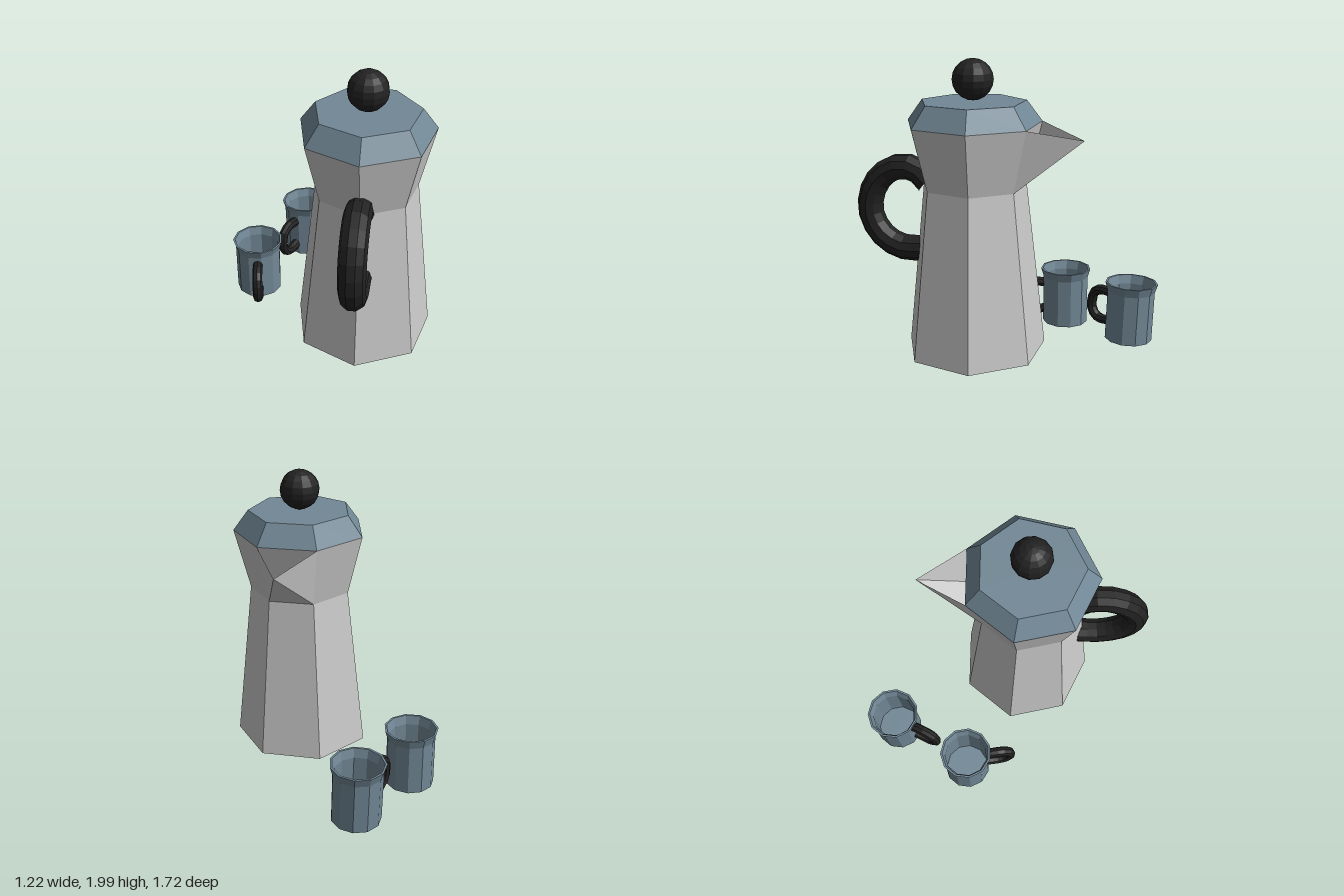
import * as THREE from 'three';

const mat = (color, side = THREE.FrontSide) =>
  new THREE.MeshStandardMaterial({ color, flatShading: true, side });
const steel = mat(0xcccccc);
const steelThin = mat(0xcccccc, THREE.DoubleSide);
const blue = mat(0x728896);
const black = mat(0x222222);

function add(parent, name, geometry, material) {
  const mesh = new THREE.Mesh(geometry, material);
  mesh.name = name;
  parent.add(mesh);
  return mesh;
}

const lathe = (profile, sides) =>
  new THREE.LatheGeometry(profile.map(([r, y]) => new THREE.Vector2(r, y)), sides);

// Bent tube in the local x-y plane, turned so that +x points along (dx, dz)
function addHandle(parent, name, points, radius, dx, dz, segments, sides) {
  const curve = new THREE.CatmullRomCurve3(points.map(([s, y]) => new THREE.Vector3(s, y, 0)));
  const handle = add(parent, name, new THREE.TubeGeometry(curve, segments, radius, sides), black);
  handle.rotation.y = Math.atan2(-dz, dx);
}

// Corner of a seven-sided ring; corner 0 faces the front
function corner(k, r, y) {
  const a = (k / 7) * Math.PI * 2;
  return new THREE.Vector3(r * Math.sin(a), y, r * Math.cos(a));
}

function createPot() {
  const pot = new THREE.Group();
  pot.name = 'pot';
  pot.position.set(0.035, 0, 0.335);

  // Seven-sided waisted body and bevelled lid
  add(pot, 'body', lathe([[0, 0.1], [0.465, 0.1], [0.34, 1.2], [0.44, 1.6]], 7), steel);
  add(pot, 'lid', lathe([[0, 1.6], [0.44, 1.6], [0.34, 1.735], [0, 1.735]], 7), blue);

  const knob = add(pot, 'knob', new THREE.SphereGeometry(0.13, 12, 10), black);
  knob.position.y = 1.87;

  // Open pouring spout: three triangles from one upper panel to the tip
  const a = corner(2, 0.44, 1.6), b = corner(3, 0.44, 1.6);
  const c = corner(2, 0.34, 1.2), d = corner(3, 0.34, 1.2);
  const tip = new THREE.Vector3(0.562, 1.525, -0.438);
  const spout = new THREE.BufferGeometry().setFromPoints([a, c, tip, c, d, tip, d, b, tip]);
  spout.computeVertexNormals();
  add(pot, 'spout', spout, steelThin);

  // Handle on the front corner opposite the spout
  addHandle(pot, 'potHandle', [
    [0.31, 1.2], [0.39, 1.275], [0.518, 1.287], [0.646, 1.21], [0.717, 1.08],
    [0.717, 0.94], [0.635, 0.81], [0.505, 0.745], [0.33, 0.75],
  ], 0.085, -0.782, 0.623, 14, 10);
  return pot;
}

function createCup(name, x, y, z, dx, dz, tilt) {
  const cup = new THREE.Group();
  cup.name = name;
  cup.position.set(x, y, z);
  cup.rotation.x = tilt;

  // Outer wall, flared rim, inner wall and floor in one profile
  add(cup, 'cupBody', lathe([
    [0, 0], [0.162, 0], [0.162, 0.345], [0.18, 0.405],
    [0.166, 0.405], [0.148, 0.345], [0.148, 0.03], [0, 0.03],
  ], 11), blue);
  addHandle(cup, 'cupHandle', [
    [0.15, 0.285], [0.24, 0.29], [0.3, 0.262], [0.322, 0.2],
    [0.318, 0.13], [0.28, 0.085], [0.22, 0.073], [0.15, 0.085],
  ], 0.035, dx, dz, 12, 8);
  return cup;
}

export function createModel() {
  const model = new THREE.Group();
  model.name = 'coffeeSet';
  model.add(
    createPot(),
    createCup('rightCup', -0.148, 0.008, -0.565, -0.66, 0.75, 0),
    createCup('leftCup', 0.432, 0.045, -0.665, -0.97, 0.23, -0.04),
  );
  return model;
}
